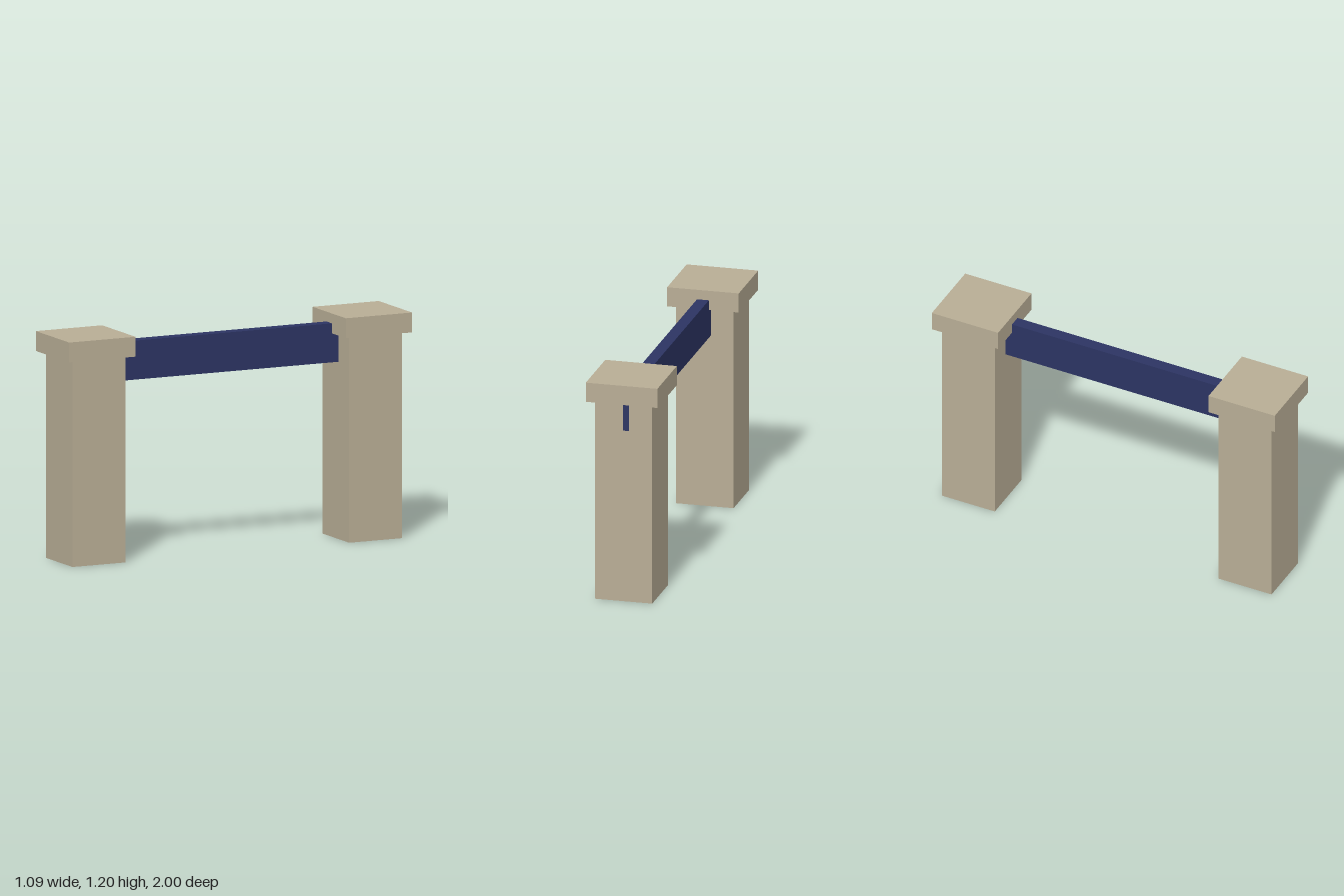
import * as THREE from 'three';

const stone = new THREE.MeshStandardMaterial({ color: 0xb8ad95 });
stone.name = 'sandstone';
const blue = new THREE.MeshStandardMaterial({ color: 0x2c3463 });
blue.name = 'navy blue';

function box(name, material, [w, h, d], [x, y, z]) {
  const mesh = new THREE.Mesh(new THREE.BoxGeometry(w, h, d), material);
  mesh.name = name;
  mesh.position.set(x, y, z);
  return mesh;
}

export function createModel() {
  const model = new THREE.Group();
  model.name = 'beamOnPillars';

  const reach = 0.806;   // pillar distance from the centre
  const side = 0.309;    // pillar width
  const capSide = 0.386;
  const shaftTop = 1.09;
  const top = 1.195;

  // Two square pillars, each with an overhanging cap slab
  for (const [label, s] of [['front', 1], ['back', -1]]) {
    const pillar = new THREE.Group();
    pillar.name = `${label}Pillar`;
    pillar.position.z = s * reach;
    pillar.add(
      box('shaft', stone, [side, shaftTop, side], [0, shaftTop / 2, 0]),
      box('cap', stone, [capSide, top - shaftTop, capSide], [0, (shaftTop + top) / 2, 0]),
    );
    model.add(pillar);
  }

  // Beam spanning between the pillars, let into both
  model.add(box('beam', blue, [0.064, 0.206, 2 * reach], [0, 1.04, 0]));

  // Narrow strip of the beam end showing on the back pillar's outer face
  model.add(box('beamEnd', blue, [0.031, 0.153, 0.004], [-0.014, 1.0135, -reach - side / 2]));

  // The whole structure stands diagonally
  model.rotation.y = -0.372;
  return model;
}
